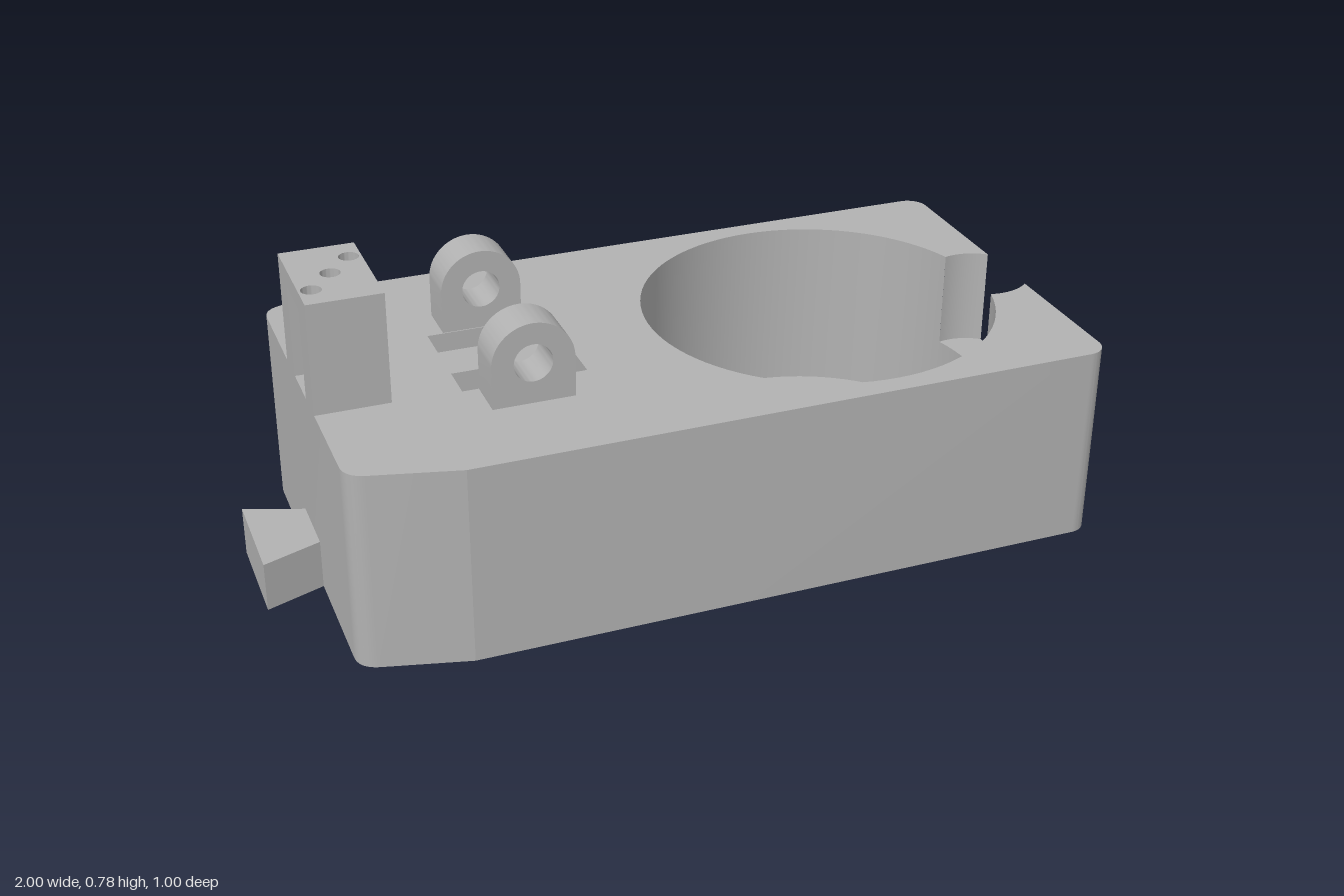
import * as THREE from 'three';
import { mergeGeometries, toCreasedNormals } from 'three/addons/utils/BufferGeometryUtils.js';

// Plan points are (x, -z), so counter-clockwise outlines face outward.
const V = (x, y) => new THREE.Vector2(x, y);

function arc(cx, cy, r, a0, a1, n) {
  return Array.from({ length: n + 1 }, (_, i) => {
    const a = a0 + (a1 - a0) * i / n;
    return V(cx + r * Math.cos(a), cy + r * Math.sin(a));
  });
}

// Upright strip following a plan path
function wall(points, y0, y1) {
  const pos = [];
  for (let i = 0; i < points.length - 1; i++) {
    const a = points[i], b = points[i + 1];
    if (a.distanceTo(b) < 1e-6) continue;
    pos.push(a.x, y0, -a.y, b.x, y0, -b.y, b.x, y1, -b.y);
    pos.push(a.x, y0, -a.y, b.x, y1, -b.y, a.x, y1, -a.y);
  }
  const g = new THREE.BufferGeometry();
  g.setAttribute('position', new THREE.Float32BufferAttribute(pos, 3));
  return g;
}

// Flat horizontal face, up or down, with optional holes
function cap(points, y, holes = [], down = false) {
  const shape = new THREE.Shape(points);
  holes.forEach(h => shape.holes.push(new THREE.Path(h)));
  const g = new THREE.ShapeGeometry(shape).toNonIndexed();
  g.rotateX(-Math.PI / 2);
  if (down) {
    g.scale(1, -1, 1);
    const p = g.attributes.position;
    for (let i = 0; i < p.count; i += 3) {
      const x = p.getX(i), z = p.getZ(i);
      p.setXYZ(i, p.getX(i + 1), 0, p.getZ(i + 1));
      p.setXYZ(i + 1, x, 0, z);
    }
  }
  g.translate(0, y, 0);
  g.deleteAttribute('uv');
  g.deleteAttribute('normal');
  return g;
}

const H = 0.5, FLOOR = 0.05, NOTCH_Y = 0.25;

function bodyGeometry() {
  // Outline: rounded at +x, tapered and rounded at -x
  const corner = new THREE.QuadraticBezierCurve(V(-0.808, 0.448), V(-0.855, 0.436), V(-0.855, 0.39)).getPoints(12);
  const half = [...arc(0.95, 0.45, 0.05, 0, Math.PI / 2, 14), V(-0.6, 0.5), ...corner];
  const mirrored = half.map(p => V(p.x, -p.y)).reverse();

  // Round pocket breaking into a round notch at the +x end
  const pocketA = 0.2752, inA = 1.827, outA = 0.8763;
  const notchLow = arc(0.92, 0, 0.125, -outA, -inA, 12);
  const notchHigh = arc(0.92, 0, 0.125, inA, outA, 12);
  const pocketBig = arc(0.46, 0, 0.445, -pocketA, pocketA - 2 * Math.PI, 80);
  const pocketSmall = arc(0.46, 0, 0.445, pocketA, -pocketA, 8);
  const low = notchLow[0], high = notchHigh[12];
  const outer = [high, ...half, ...mirrored, low];

  // Two long slots beside the lugs
  const slots = [1, -1].map(s => {
    const a = Math.min(s * 0.058, s * 0.152), b = Math.max(s * 0.058, s * 0.152);
    return [V(-0.51, a), V(-0.51, b), V(-0.205, b), V(-0.205, a)];
  });

  const parts = [
    wall(outer, 0, H),
    wall([low, high], 0, NOTCH_Y),
    wall(notchLow, NOTCH_Y, H),
    wall(notchHigh, NOTCH_Y, H),
    wall(pocketBig, FLOOR, H),
    wall(pocketSmall, FLOOR, NOTCH_Y),
    cap([...outer, ...notchLow.slice(1), ...pocketBig.slice(1), ...notchHigh.slice(1, -1)], H, slots),
    cap([low, high, ...notchHigh.slice(0, -1).reverse(), ...pocketSmall.slice(1), ...notchLow.slice(1, -1).reverse()], NOTCH_Y),
    cap([...pocketBig, ...pocketSmall.slice(1, -1)].reverse(), FLOOR),
    cap(outer, 0, [], true),
  ];
  slots.forEach(s => {
    parts.push(wall([...s, s[0]], 0.25, H), cap([...s].reverse(), 0.25));
  });
  const g = mergeGeometries(parts);
  g.computeVertexNormals();
  return toCreasedNormals(g, 0.2);
}

// Extrude a plan shape upward
function slab(shape, y, height) {
  const g = new THREE.ExtrudeGeometry(shape, { depth: height, bevelEnabled: false, curveSegments: 24 });
  g.rotateX(-Math.PI / 2).translate(0, y, 0);
  return toCreasedNormals(g, 0.4);
}

export function createModel() {
  const model = new THREE.Group();
  const grey = new THREE.MeshStandardMaterial({ color: 0xb2b2b2 });
  grey.name = 'grey';
  const add = (name, geometry, parent = model) => {
    const mesh = new THREE.Mesh(geometry, grey);
    mesh.name = name;
    parent.add(mesh);
    return mesh;
  };

  add('body', bodyGeometry());

  // Dovetail tab at the -x end
  add('tab', slab(new THREE.Shape([V(-1, -0.133), V(-0.855, -0.08), V(-0.855, 0.08), V(-1, 0.133)]), 0, 0.125));

  // Pierced, round-topped lugs
  const lug = new THREE.Shape();
  lug.moveTo(-0.47, H);
  lug.lineTo(-0.27, H);
  lug.lineTo(-0.27, 0.602);
  lug.absarc(-0.37, 0.602, 0.1, 0, Math.PI, false);
  lug.lineTo(-0.47, H);
  const bore = new THREE.Path();
  bore.absarc(-0.37, 0.602, 0.047, 0, Math.PI * 2, true);
  lug.holes.push(bore);
  const lugGeometry = toCreasedNormals(
    new THREE.ExtrudeGeometry(lug, { depth: 0.107, bevelEnabled: false, curveSegments: 24 }), 0.4);
  add('leftLug', lugGeometry).position.z = 0.155;
  add('rightLug', lugGeometry).position.z = -0.262;

  // Arch with three holes in its top plate
  const arch = new THREE.Group();
  arch.name = 'arch';
  model.add(arch);
  for (const s of [1, -1]) {
    add('archLeg', new THREE.BoxGeometry(0.18, 0.227, 0.087), arch).position.set(-0.765, 0.6135, s * 0.1035);
  }
  const top = new THREE.Shape([V(-0.855, -0.147), V(-0.675, -0.147), V(-0.675, 0.147), V(-0.855, 0.147)]);
  for (const i of [-1, 0, 1]) {
    const hole = new THREE.Path();
    hole.absarc(-0.765 + i * 0.06, i * 0.074, 0.024, 0, Math.PI * 2, true);
    top.holes.push(hole);
  }
  add('archTop', slab(top, 0.727, 0.05), arch);

  return model;
}
